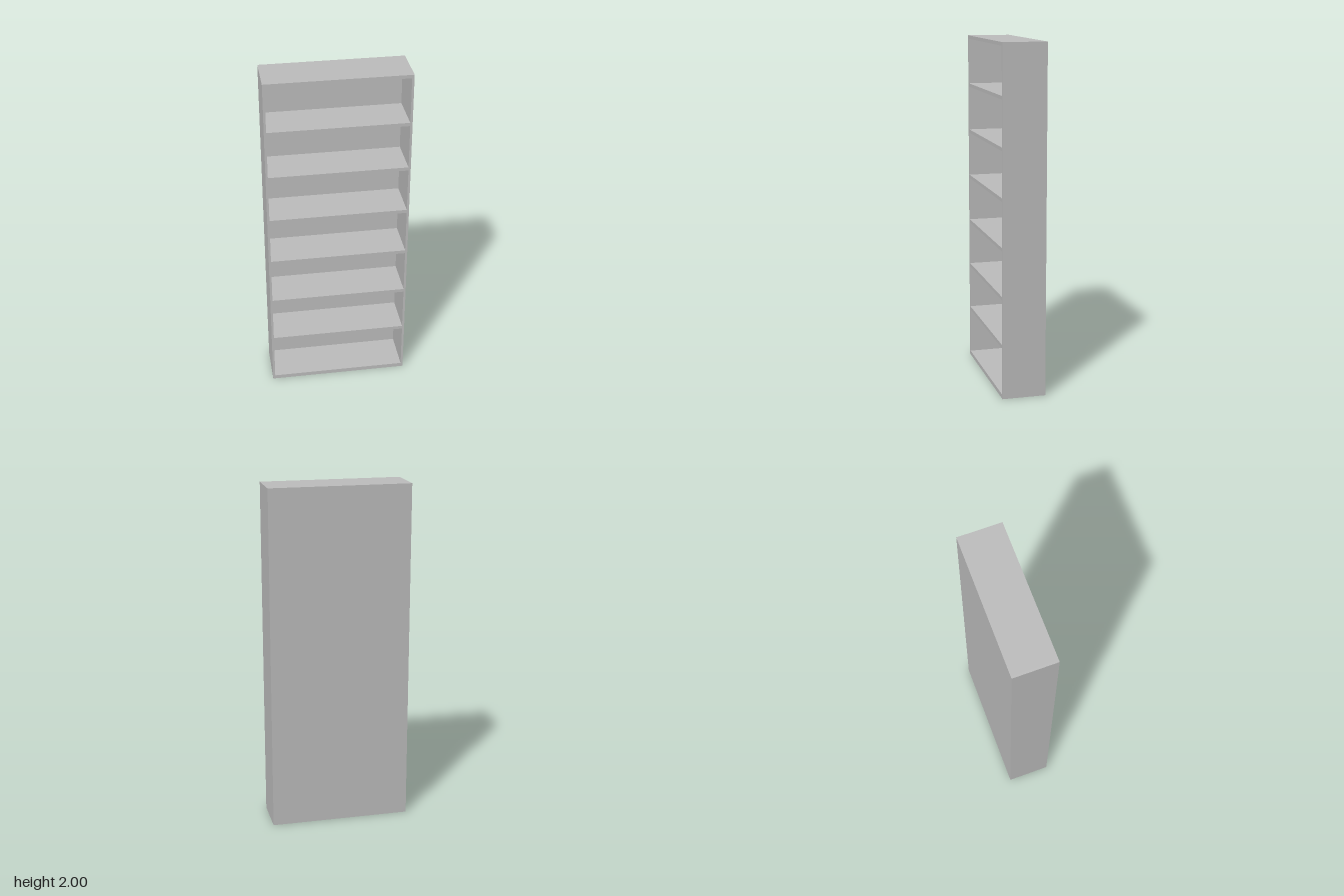
import * as THREE from 'three';

export function createModel() {
  const model = new THREE.Group();
  model.name = 'bookcase';
  const grey = new THREE.MeshStandardMaterial({ color: 0xbebebe });
  grey.name = 'light grey';

  const W = 0.816, H = 2, D = 0.252; // outer size
  const side = 0.013, board = 0.02, base = 0.024, back = 0.008;
  const innerW = W - 2 * side, innerD = D - back;

  function panel(name, w, h, d, x, y, z) {
    const mesh = new THREE.Mesh(new THREE.BoxGeometry(w, h, d), grey);
    mesh.name = name;
    mesh.position.set(x, y, z);
    model.add(mesh);
  }

  // Upright sides
  for (const s of [-1, 1]) {
    panel(s > 0 ? 'leftSide' : 'rightSide', side, H, D, s * (W - side) / 2, H / 2, 0);
  }

  // Back, bottom and top boards
  panel('backPanel', innerW, H, back, 0, H / 2, (back - D) / 2);
  panel('bottomBoard', innerW, base, innerD, 0, base / 2, back / 2);
  panel('topBoard', innerW, board, innerD, 0, H - board / 2, back / 2);

  // Six evenly spaced shelves
  for (let i = 0; i < 6; i++) {
    panel('shelf' + (i + 1), innerW, board, innerD, 0, 0.307 + i * 0.2794, back / 2);
  }
  return model;
}
